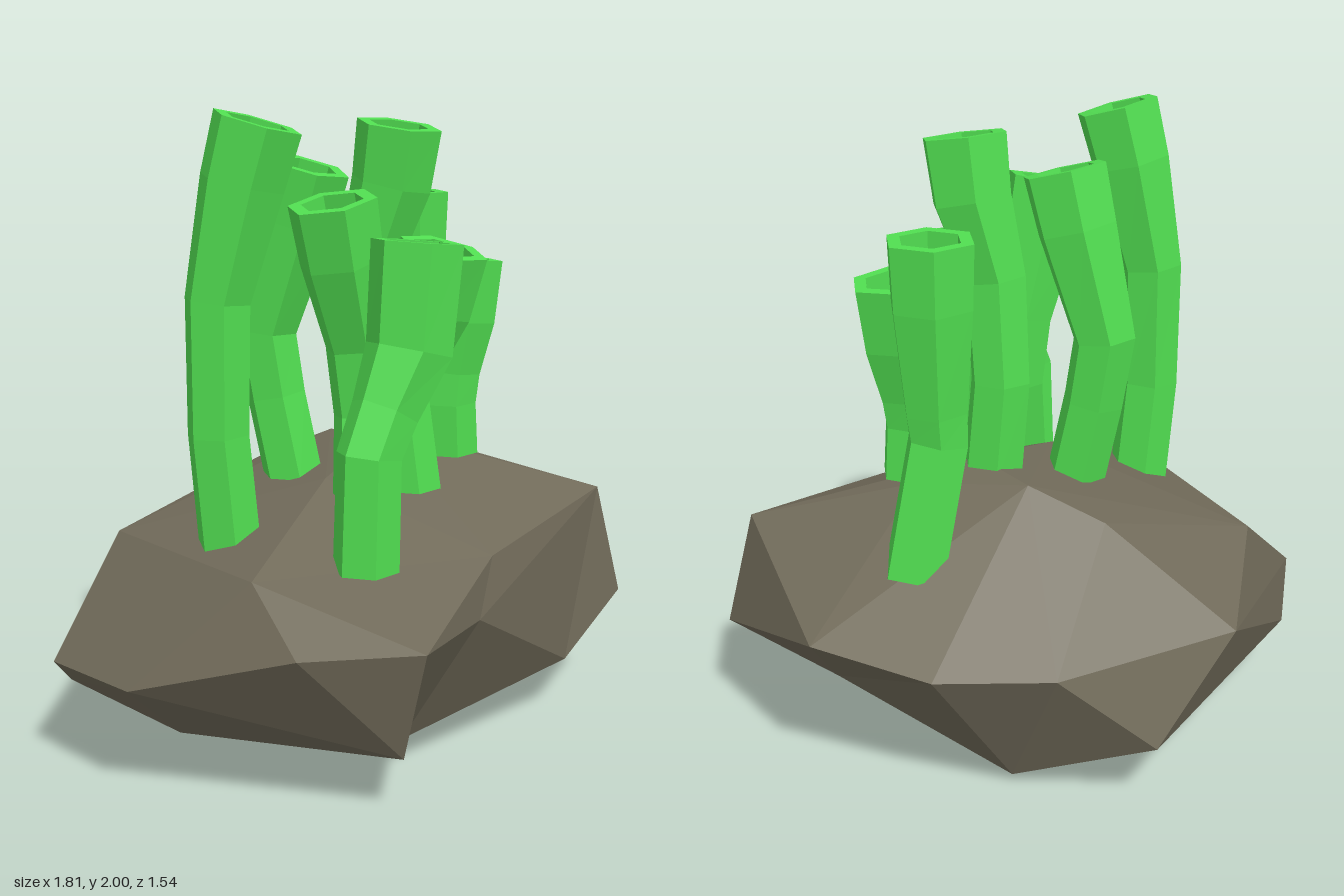
import * as THREE from 'three';
import { ConvexGeometry } from 'three/addons/geometries/ConvexGeometry.js';

const SIDES = 6;
const UP = new THREE.Vector3(0, 1, 0);

// Hollow six-sided stalk through rings [x, y, z, radius], closed inside near the top
function stalkGeometry(path) {
  const centres = path.map(([x, y, z]) => new THREE.Vector3(x, y, z));
  const last = path.length - 1;
  const loops = [];
  const addLoop = (centre, dir, radius) => {
    const turn = new THREE.Quaternion().setFromUnitVectors(UP, dir);
    const loop = [];
    for (let i = 0; i < SIDES; i++) {
      const a = (i / SIDES) * Math.PI * 2;
      loop.push(new THREE.Vector3(Math.cos(a) * radius, 0, Math.sin(a) * radius)
        .applyQuaternion(turn).add(centre));
    }
    loops.push(loop);
  };
  // flat base, closed underneath
  addLoop(centres[0], UP, 0.001);
  let dir = UP;
  centres.forEach((c, k) => {
    if (k > 0) dir = centres[Math.min(k + 1, last)].clone().sub(centres[k - 1]).normalize();
    addLoop(c, dir, path[k][3]);
  });
  // rim, inner wall and floor of the opening
  const top = centres[last], r = path[last][3] * 0.7;
  const floor = top.clone().addScaledVector(dir, -0.15);
  addLoop(top, dir, r);
  addLoop(floor, dir, r);
  addLoop(floor, dir, 0.001);

  const pos = [];
  const tri = (...points) => points.forEach((p) => pos.push(p.x, p.y, p.z));
  for (let k = 0; k < loops.length - 1; k++) {
    for (let i = 0; i < SIDES; i++) {
      const j = (i + 1) % SIDES;
      const a = loops[k][i], b = loops[k][j], c = loops[k + 1][i], d = loops[k + 1][j];
      tri(a, c, b);
      tri(b, c, d);
    }
  }
  const geometry = new THREE.BufferGeometry();
  geometry.setAttribute('position', new THREE.Float32BufferAttribute(pos, 3));
  geometry.computeVertexNormals();
  return geometry;
}

// Faceted boulder: hull of corner points, then some corners are pressed in to make hollows
function rockGeometry() {
  const corners = [
    // upper
    [0.22, 0.95, 0], [0.41, 0.89, 0.06], [-0.15, 0.87, 0.1], [0.19, 0.92, -0.22],
    [0.04, 0.82, -0.41], [-0.65, 0.7, 0.31], [0.78, 0.735, 0.47], [-0.53, 0.66, -0.465],
    // middle
    [-0.42, 0.545, 0.77], [-0.71, 0.545, 0.555], [-0.905, 0.37, 0.055], [-0.905, 0.36, -0.31],
    [-0.18, 0.53, -0.77], [0.69, 0.5, -0.41], [0.905, 0.555, -0.095], [0.865, 0.36, 0.515],
    // lower
    [0.13, 0.235, -0.77], [-0.755, 0.22, -0.44], [-0.39, 0.19, 0.66],
    [-0.55, 0.065, -0.15], [-0.26, 0.03, 0.175], [0.25, 0, -0.04], [0.37, 0.03, -0.37],
  ].map((p) => new THREE.Vector3(...p));
  // hull position, pressed-in position
  const dents = [
    [[-0.05, 0.52, 0.87], [-0.05, 0.52, 0.65]],
    [[0.07, 0.7, 0.67], [0.07, 0.68, 0.595]],
    [[-0.15, 0.1, 0.75], [-0.15, 0.1, 0.43]],
    [[0.56, 0.19, 0.75], [0.56, 0.19, 0.52]],
    [[0.82, 0.16, 0.195], [0.65, 0.22, 0.195]],
    [[0.45, 0.43, -0.68], [0.39, 0.49, -0.615]],
  ].map((pair) => pair.map((p) => new THREE.Vector3(...p)));

  const geometry = new ConvexGeometry([...corners, ...dents.map(([from]) => from)]);
  const pos = geometry.attributes.position;
  const v = new THREE.Vector3();
  for (let i = 0; i < pos.count; i++) {
    v.fromBufferAttribute(pos, i);
    for (const [from, to] of dents) {
      if (v.distanceTo(from) < 0.001) pos.setXYZ(i, to.x, to.y, to.z);
    }
  }
  geometry.computeVertexNormals();
  return geometry;
}

export function createModel() {
  const group = new THREE.Group();
  const green = new THREE.MeshStandardMaterial({ color: 0x51de51 });
  green.name = 'stalk green';
  const brown = new THREE.MeshStandardMaterial({ color: 0x706a59 });
  brown.name = 'rock brown';

  const rock = new THREE.Mesh(rockGeometry(), brown);
  rock.name = 'rock';
  group.add(rock);

  // Stalk paths from root to mouth
  const stalks = {
    tallLeftStalk: [[-0.46, 0.7, 0], [-0.49, 1.05, -0.01], [-0.485, 1.45, -0.01], [-0.432, 1.79, 0.045], [-0.405, 1.965, 0.085]],
    backStalk: [[-0.1, 0.84, -0.1], [-0.13, 1.1, -0.145], [-0.15, 1.31, -0.17], [-0.105, 1.65, -0.085], [-0.09, 1.825, -0.04]],
    leaningStalk: [[-0.13, 0.84, 0.25], [-0.09, 1.08, 0.21], [-0.11, 1.3, 0.2], [-0.185, 1.56, 0.205], [-0.225, 1.735, 0.205]],
    tallCentreStalk: [[0.17, 0.88, -0.01], [0.15, 1.2, -0.03], [0.145, 1.52, 0], [0.187, 1.76, 0.055], [0.19, 1.945, 0.085]],
    rightStalk: [[0.54, 0.7, -0.115], [0.445, 1.1, -0.115], [0.45, 1.2, -0.115], [0.457, 1.52, -0.117], [0.457, 1.715, -0.117]],
    frontStalk: [[-0.32, 0.69, 0.44], [-0.31, 1.03, 0.44], [-0.245, 1.15, 0.44], [-0.15, 1.32, 0.445], [-0.12, 1.63, 0.445]],
    frontCentreStalk: [[0.075, 0.83, 0.25], [0.06, 1.1, 0.215], [0.07, 1.2, 0.225], [0.107, 1.4, 0.295], [0.118, 1.585, 0.34]],
    shortRightStalk: [[0.36, 0.88, 0.16], [0.35, 1.05, 0.16], [0.36, 1.15, 0.16], [0.38, 1.32, 0.165], [0.4, 1.52, 0.168]],
  };
  const radii = [0.1, 0.097, 0.102, 0.13, 0.137];
  for (const [name, path] of Object.entries(stalks)) {
    const rings = path.map((point, k) => [...point, radii[k]]);
    const stalk = new THREE.Mesh(stalkGeometry(rings), green);
    stalk.name = name;
    group.add(stalk);
  }
  return group;
}
